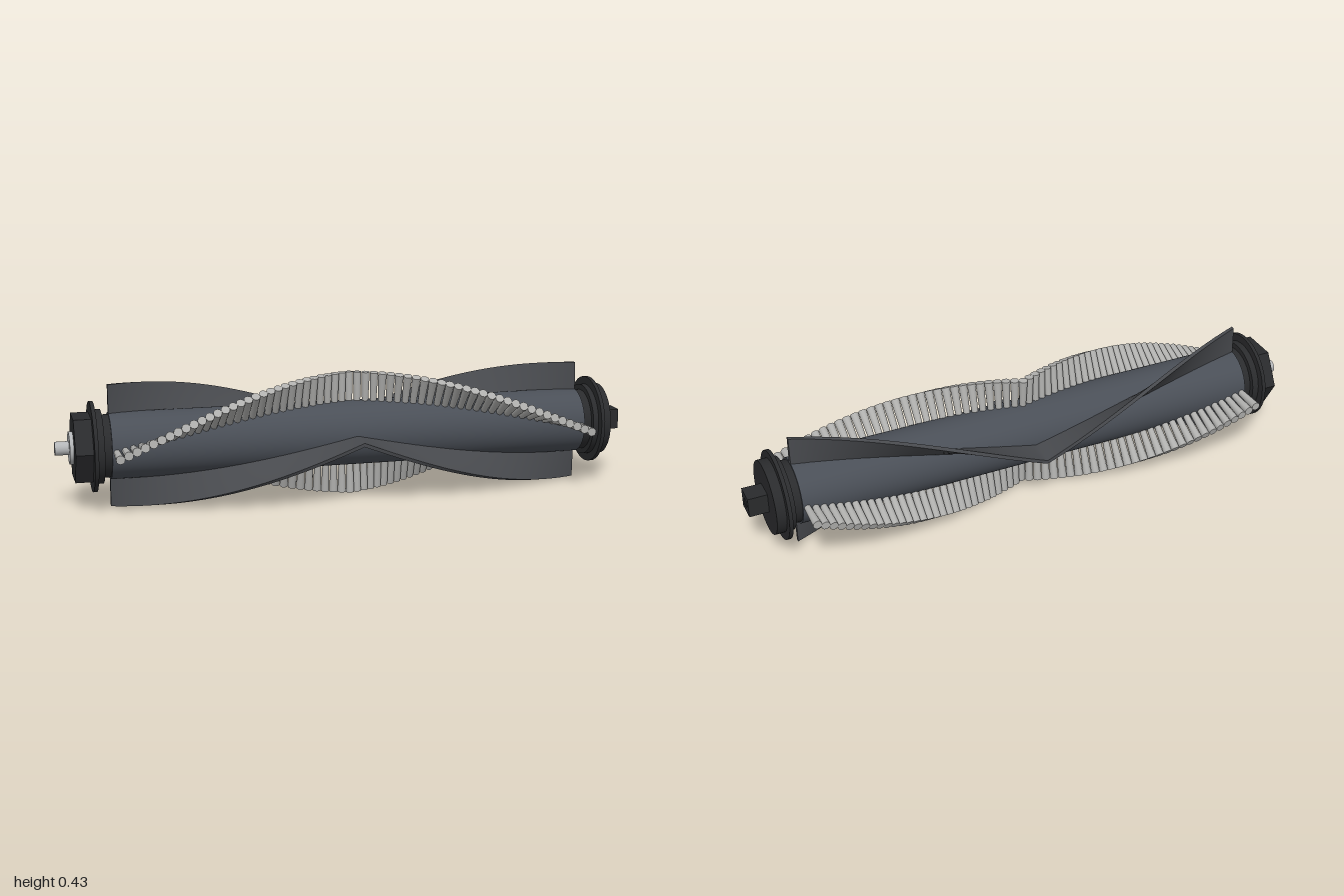
import * as THREE from 'three';

const AXIS_Y = 0.214, MID_X = 0.01, HALF = 0.83;

const mat = (color, extra = {}) => new THREE.MeshStandardMaterial({ color, ...extra });

export function createModel() {
  const root = new THREE.Group();
  const roller = new THREE.Group();
  roller.name = 'roller';
  roller.position.y = AXIS_Y;
  root.add(roller);

  const coreMat = mat(0x4a4f57);
  const finMat = mat(0x47494d);
  const capMat = mat(0x2a2b2d);
  const hexMat = mat(0x2a2b2d, { flatShading: true });
  const steelMat = mat(0xb4b6b8);
  const bristleMat = mat(0xb0b0ae);

  const add = (name, geometry, material, parent = roller) => {
    const mesh = new THREE.Mesh(geometry, material);
    mesh.name = name;
    parent.add(mesh);
    return mesh;
  };

  // Round or polygonal section of the roller between two x positions
  const section = (name, x0, x1, radius, material, sides = 48) => {
    const g = new THREE.CylinderGeometry(radius, radius, x1 - x0, sides);
    g.rotateZ(-Math.PI / 2);
    g.translate((x0 + x1) / 2, 0, 0);
    return add(name, g, material);
  };

  // Chevron twist: a quarter turn from the middle to each end
  const twist = (x) => (Math.PI / 2) * Math.abs(x - MID_X) / HALF;

  // Core
  section('core', MID_X - HALF, MID_X + HALF, 0.112, coreMat, 64);

  // Left-hand bearing end with hexagonal cap and steel pin
  section('endNeckA', -0.85, -0.82, 0.106, capMat);
  section('endCollarA', -0.87, -0.845, 0.125, capMat);
  section('endFlangeA', -0.881, -0.868, 0.152, capMat);
  section('hexCap', -0.94, -0.875, 0.123, hexMat, 6);
  section('bearing', -0.953, -0.935, 0.055, steelMat);
  section('pin', -1, -0.94, 0.023, steelMat, 24);

  // Drive end with square block
  section('endNeckB', 0.835, 0.872, 0.106, capMat);
  section('endCollarB', 0.868, 0.89, 0.125, capMat);
  section('endFlangeB', 0.887, 0.9, 0.152, capMat);
  section('driveCap', 0.895, 0.933, 0.126, capMat);
  const square = new THREE.Shape();
  const s = 0.035;
  square.moveTo(-s, -s).lineTo(s, -s).lineTo(s, s).lineTo(-s, s).closePath();
  square.holes.push(new THREE.Path().absarc(0, 0, 0.016, 0, Math.PI * 2, true));
  const block = new THREE.ExtrudeGeometry(square, { depth: 0.07, bevelEnabled: false, curveSegments: 20 });
  block.rotateY(Math.PI / 2);
  block.translate(0.93, 0, 0);
  add('driveBlock', block, capMat);
  section('driveBlockCore', 0.93, 0.998, 0.016, capMat, 24);

  // Rubber fins: a long bar twisted around the axis, slightly thicker at its root
  const inner = 0.1, outer = 0.208;
  const makeFin = (turn) => {
    const g = new THREE.BoxGeometry(HALF * 2, outer - inner, 0.013, 80, 2, 1);
    g.translate(MID_X, (inner + outer) / 2, 0);
    const p = g.attributes.position;
    for (let i = 0; i < p.count; i++) {
      const x = p.getX(i), r = p.getY(i);
      const t = p.getZ(i) * (1 + 0.5 * (outer - r) / (outer - inner));
      const a = twist(x) - Math.PI / 2 + turn;
      p.setXYZ(i, x, r * Math.cos(a) - t * Math.sin(a), r * Math.sin(a) + t * Math.cos(a));
    }
    g.computeVertexNormals();
    return g;
  };

  // Bristle tufts: tapered pegs set along the same twist
  const TUFTS = 30;
  const tuft = new THREE.CylinderGeometry(0.015, 0.011, 0.112, 12);
  tuft.translate(0, 0.156, 0);

  [0, Math.PI].forEach((turn, n) => {
    add('fin' + (n + 1), makeFin(turn), finMat);

    const row = new THREE.Group();
    row.name = 'bristleRow' + (n + 1);
    roller.add(row);
    for (let i = -TUFTS; i <= TUFTS; i++) {
      const x = MID_X + (i / TUFTS) * (HALF - 0.015);
      const peg = add('bristleTuft', tuft, bristleMat, row);
      peg.position.x = x;
      peg.rotation.x = twist(x) * 1.02 - 0.05 * (1 - Math.abs(i) / TUFTS) + turn;
    }
  });

  return root;
}
